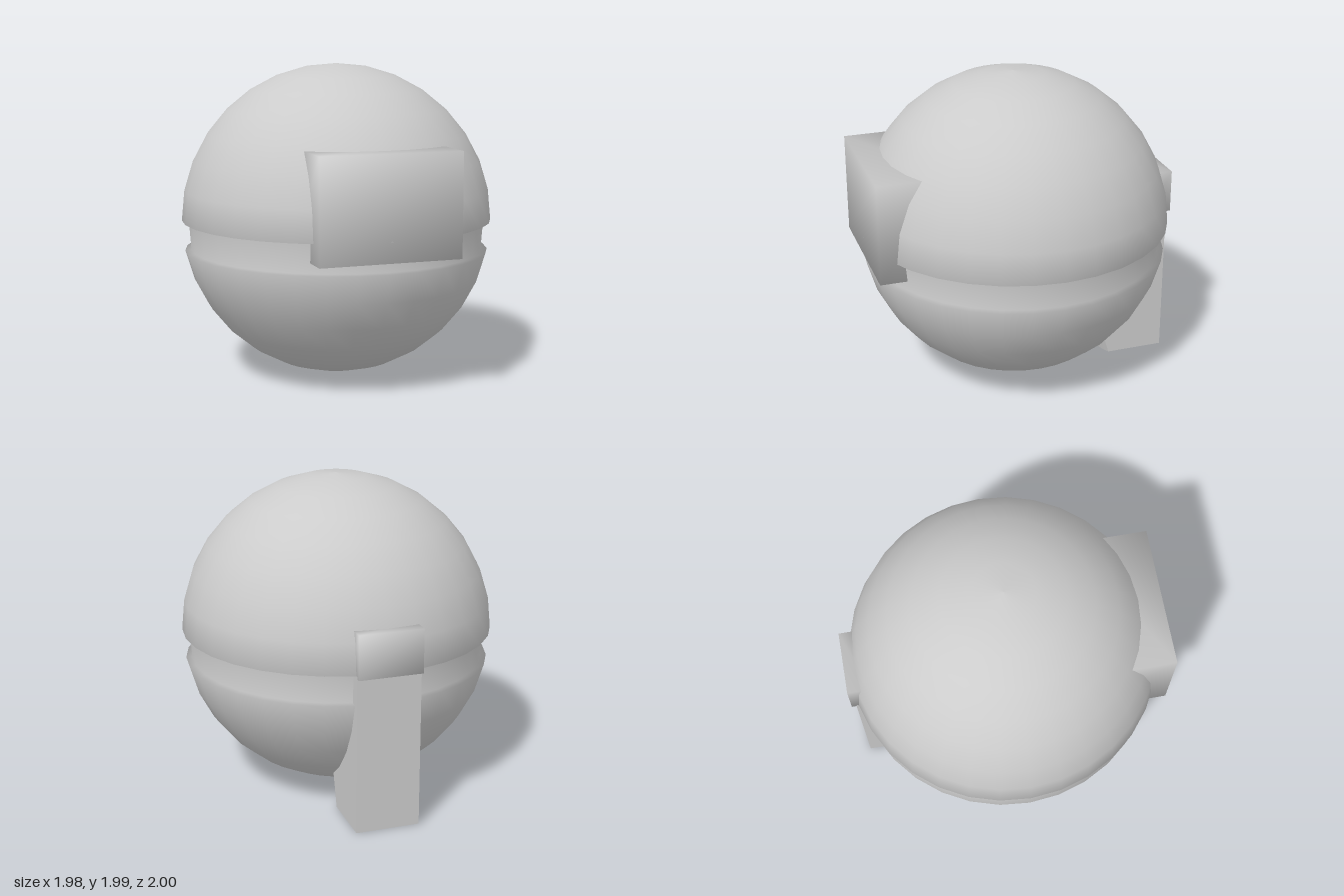
import * as THREE from 'three';
import { mergeVertices } from 'three/addons/utils/BufferGeometryUtils.js';

const R = 0.988;      // shell radius
const INNER = 0.945;  // radius of the recessed band
const CY = 0.998;     // height of the ball centre
const CZ = 0.013;     // depth of the ball centre

const material = new THREE.MeshStandardMaterial({ color: 0xcccccc, side: THREE.DoubleSide });

function addMesh(group, name, geometry) {
  const mesh = new THREE.Mesh(geometry, material);
  mesh.name = name;
  group.add(mesh);
  return mesh;
}

// Points on a circle of radius R, from angle a to b (degrees above the equator)
function arc(a, b, steps) {
  const points = [];
  for (let i = 0; i <= steps; i++) {
    const t = THREE.MathUtils.degToRad(a + ((b - a) * i) / steps);
    points.push(new THREE.Vector2(Math.max(0, R * Math.cos(t)), R * Math.sin(t)));
  }
  return points;
}

// Box with normals shared across its edges, spanning the two corners
function softBox(x, y0, y1, z0, z1) {
  const box = new THREE.BoxGeometry(2 * x, y1 - y0, z1 - z0);
  box.translate(0, (y0 + y1) / 2, (z0 + z1) / 2);
  box.deleteAttribute('normal');
  box.deleteAttribute('uv');
  const soft = mergeVertices(box);
  soft.computeVertexNormals();
  return soft;
}

export function createModel() {
  const model = new THREE.Group();
  model.name = 'splitBall';

  // Upper dome with a flat lip under its rim
  const upper = [new THREE.Vector2(INNER - 0.02, 0), ...arc(0, 90, 8)];
  addMesh(model, 'upperDome', new THREE.LatheGeometry(upper, 32)).position.set(0, CY, CZ);

  // Lower bowl: outer shell, sloping ledge, recessed band
  const lower = [
    ...arc(-90, -11.25, 7),
    new THREE.Vector2(0.93, -0.187),
    new THREE.Vector2(INNER, 0.01),
  ];
  addMesh(model, 'lowerBowl', new THREE.LatheGeometry(lower, 32)).position.set(0, CY, CZ);

  // Front block and rear hinge tab
  addMesh(model, 'frontBlock', softBox(0.443, 0.875, 1.513, 0.5, 1));
  addMesh(model, 'hingeTab', softBox(0.2, 0.985, 1.26, -1, -0.85));

  // Rear stand: its inner face leans and bulges to follow the ball
  const stand = new THREE.BoxGeometry(0.4, 1, 1, 8, 1, 1);
  stand.translate(0, 0.5, 0);
  const p = stand.attributes.position;
  for (let i = 0; i < p.count; i++) {
    const x = p.getX(i);
    const front = -0.54 + 0.3 * p.getY(i) - 1.4 * x * x;
    p.setZ(i, p.getZ(i) > 0 ? front : -0.97);
  }
  stand.computeVertexNormals();
  addMesh(model, 'rearStand', stand);

  return model;
}
